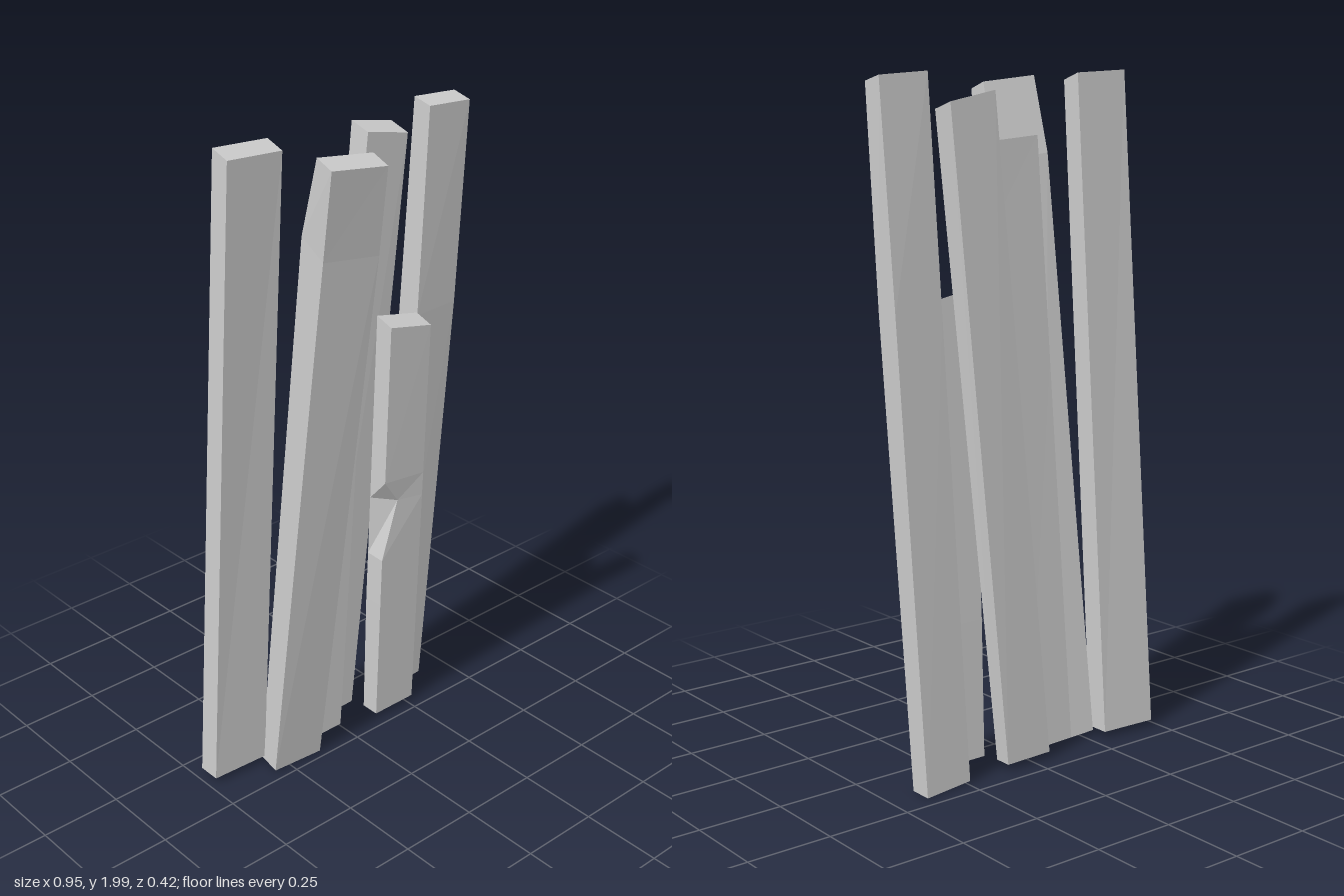
import * as THREE from 'three';

const material = new THREE.MeshStandardMaterial({ color: 0xcccccc, flatShading: true });

// One cross-section: corners run front-left, front-right, back-right, back-left.
// fall = right side lower, turn = right side further forward, rise = back higher
function section(y, x0, x1, zf, zb, { fall = 0, turn = 0, rise = 0, lean = 0 } = {}) {
  return [
    new THREE.Vector3(x0, y, zf),
    new THREE.Vector3(x1, y - fall, zf + turn),
    new THREE.Vector3(x1 + lean, y - fall + rise, zb + turn),
    new THREE.Vector3(x0 + lean, y + rise, zb),
  ];
}

// Splits a board at height y by interpolating its neighbouring sections
function splitAt(rings, y) {
  const k = rings.findIndex((r) => r[0].y > y);
  const a = rings[k - 1], b = rings[k];
  const t = (y - a[0].y) / (b[0].y - a[0].y);
  const ring = a.map((p, i) => p.clone().lerp(b[i], t));
  rings.splice(k, 0, ring);
  return ring;
}

// Lofts the sections into a closed board; a chip pushes one edge inward
function board(name, rings, chip) {
  if (chip) {
    splitAt(rings, chip.low);
    const ring = splitAt(rings, chip.y);
    splitAt(rings, chip.high);
    ring[chip.corner].x += chip.dx;
    ring[chip.corner].z += chip.dz;
  }
  const index = [0, 2, 1, 0, 3, 2];
  for (let k = 0; k < rings.length - 1; k++) {
    for (let i = 0; i < 4; i++) {
      const a = k * 4 + i, b = k * 4 + ((i + 1) % 4);
      index.push(a, b, b + 4, a, b + 4, a + 4);
    }
  }
  const n = (rings.length - 1) * 4;
  index.push(n, n + 1, n + 2, n, n + 2, n + 3);
  const indexed = new THREE.BufferGeometry().setFromPoints(rings.flat());
  indexed.setIndex(index);
  const geometry = indexed.toNonIndexed();
  geometry.computeVertexNormals();
  const mesh = new THREE.Mesh(geometry, material);
  mesh.name = name;
  return mesh;
}

export function createModel() {
  const group = new THREE.Group();
  group.name = 'brokenBoards';
  group.add(
    // outermost board on the right, slightly twisted
    board('outerRightBoard', [
      section(0.025, -0.478, -0.295, -0.11, -0.18, { turn: 0.01 }),
      section(1.98, -0.43, -0.25, -0.01, -0.07, { fall: 0.01, rise: 0.02 }),
    ]),
    // board leaning forward with a bent top
    board('leaningBoard', [
      section(0.015, -0.31, -0.135, -0.03, -0.115, { fall: 0.008, turn: 0.005, lean: 0.015 }),
      section(1.71, -0.257, -0.075, 0.155, 0.07, { fall: 0.02, turn: 0.015, rise: 0.05 }),
      section(1.965, -0.26, -0.08, 0.195, 0.132, { fall: 0.02, turn: 0.013, rise: 0.02, lean: 0.005 }),
    ]),
    // middle board with a chipped front edge
    board('middleBoard', [
      section(0.025, -0.175, -0.01, -0.07, -0.14, { lean: -0.01 }),
      section(1.805, -0.07, 0.105, -0.05, -0.107, { fall: 0.015, turn: -0.005, rise: 0.012 }),
    ], { corner: 1, low: 1.18, y: 1.39, high: 1.58, dx: -0.045, dz: -0.005 }),
    // rear board tilting sideways
    board('rearBoard', [
      section(0.025, -0.06, 0.1, -0.135, -0.187, { turn: -0.005 }),
      section(1.92, 0.137, 0.288, -0.11, -0.178, { fall: 0.03, rise: 0.02 }),
    ]),
    // short front board with a notch on its edge
    board('shortFrontBoard', [
      section(0.025, 0.112, 0.268, -0.035, -0.095),
      section(0.44, 0.113, 0.27, -0.02, -0.085),
      section(1.375, 0.125, 0.282, 0.005, -0.055, { fall: 0.033, rise: 0.02 }),
    ], { corner: 0, low: 0.6, y: 0.79, high: 0.87, dx: 0.06, dz: -0.006 }),
    // outermost board on the left, bowed a little
    board('outerLeftBoard', [
      section(0.012, 0.24, 0.4, -0.125, -0.193, { fall: 0.006, turn: -0.015 }),
      section(1.35, 0.287, 0.45, -0.058, -0.135, { turn: -0.012 }),
      section(1.975, 0.31, 0.472, -0.045, -0.108, { fall: 0.012, turn: -0.006, rise: 0.015 }),
    ]),
  );
  return group;
}
